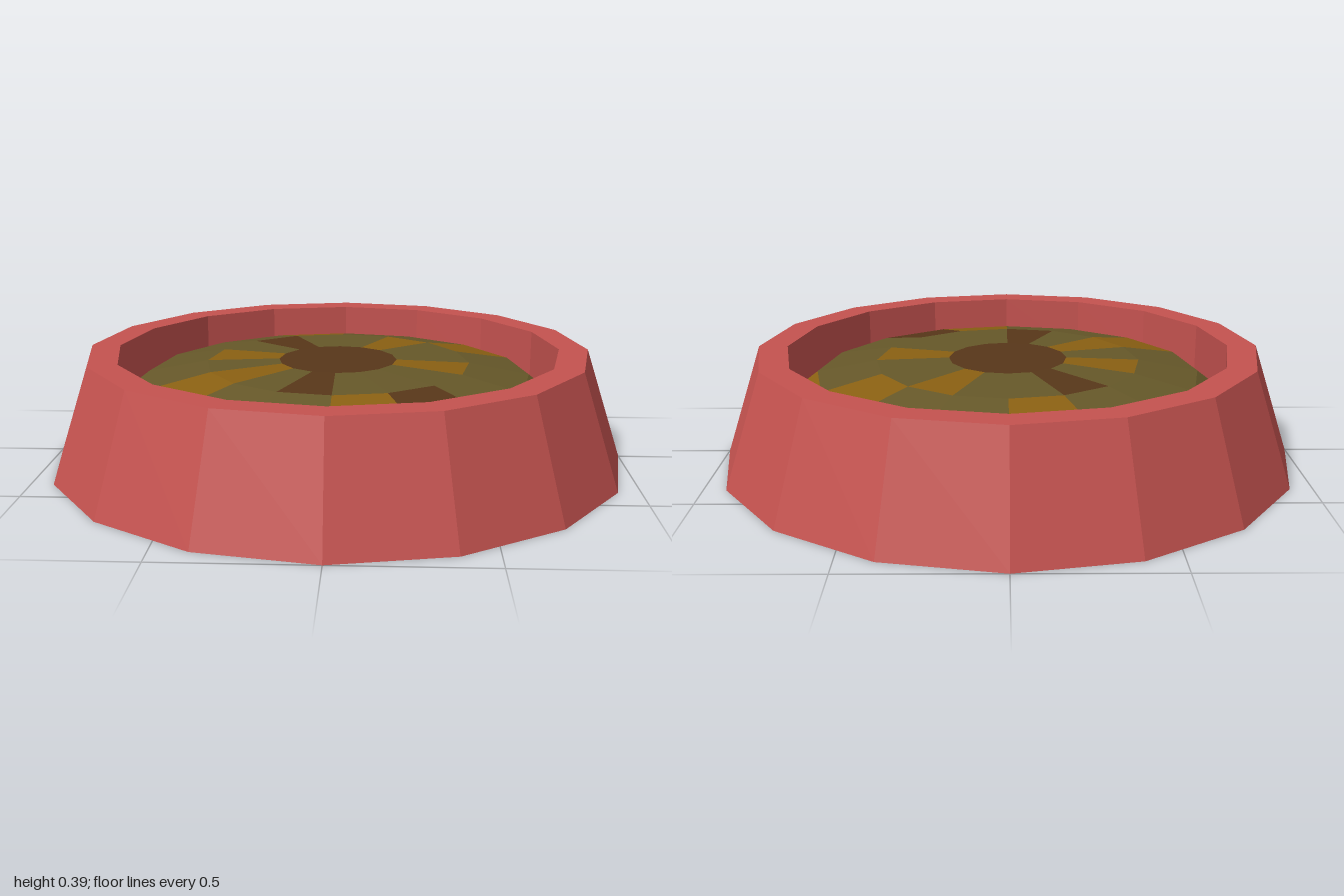
import * as THREE from 'three';

const SIDES = 16;

function flat(color) {
  const m = new THREE.MeshStandardMaterial({ flatShading: true });
  m.color.set(color);
  return m;
}

// Food mound rings as [radius, height], from the centre outwards
const RINGS = [[0, 0.346], [0.206, 0.346], [0.46, 0.337], [0.67, 0.297], [0.77, 0.22]];

// Sectors of each ring band (centre cap first) that carry a differing colour
const YELLOW = [[], [3, 6, 11, 13], [0, 5, 8, 13], [1, 4, 10, 14]];
const BROWN = [[...Array(SIDES).keys()], [9, 15], [1], [6]];

function ringPoint([r, y], i) {
  const a = (i / SIDES) * Math.PI * 2;
  return [r * Math.sin(a), y, r * Math.cos(a)];
}

// Collects the facets of the mound for which pick(band, sector) is true
function foodPatch(name, color, pick) {
  const pos = [];
  for (let b = 0; b < RINGS.length - 1; b++) {
    for (let i = 0; i < SIDES; i++) {
      if (!pick(b, i)) continue;
      const inner0 = ringPoint(RINGS[b], i), inner1 = ringPoint(RINGS[b], i + 1);
      const outer0 = ringPoint(RINGS[b + 1], i), outer1 = ringPoint(RINGS[b + 1], i + 1);
      pos.push(...inner0, ...outer0, ...outer1);
      if (b > 0) pos.push(...inner0, ...outer1, ...inner1);
    }
  }
  const geo = new THREE.BufferGeometry();
  geo.setAttribute('position', new THREE.Float32BufferAttribute(pos, 3));
  geo.computeVertexNormals();
  const mesh = new THREE.Mesh(geo, flat(color));
  mesh.name = name;
  return mesh;
}

export function createModel() {
  const model = new THREE.Group();
  model.name = 'petBowl';

  // Bowl: closed base, sloping outer wall, flat rim, upright inner wall and floor
  const profile = [[0, 0], [1, 0], [0.87, 0.388], [0.77, 0.388], [0.77, 0.18], [0, 0.18]]
    .map(([x, y]) => new THREE.Vector2(x, y));
  const bowl = new THREE.Mesh(new THREE.LatheGeometry(profile, SIDES), flat(0xc4524f));
  bowl.name = 'bowl';
  model.add(bowl);

  // Food mound with scattered coloured facets
  const food = new THREE.Group();
  food.name = 'food';
  const isYellow = (b, i) => YELLOW[b].includes(i);
  const isBrown = (b, i) => BROWN[b].includes(i);
  food.add(
    foodPatch('oliveFood', 0x665829, (b, i) => !isYellow(b, i) && !isBrown(b, i)),
    foodPatch('yellowFood', 0x8a6012, isYellow),
    foodPatch('brownFood', 0x583719, isBrown),
  );
  model.add(food);
  return model;
}
